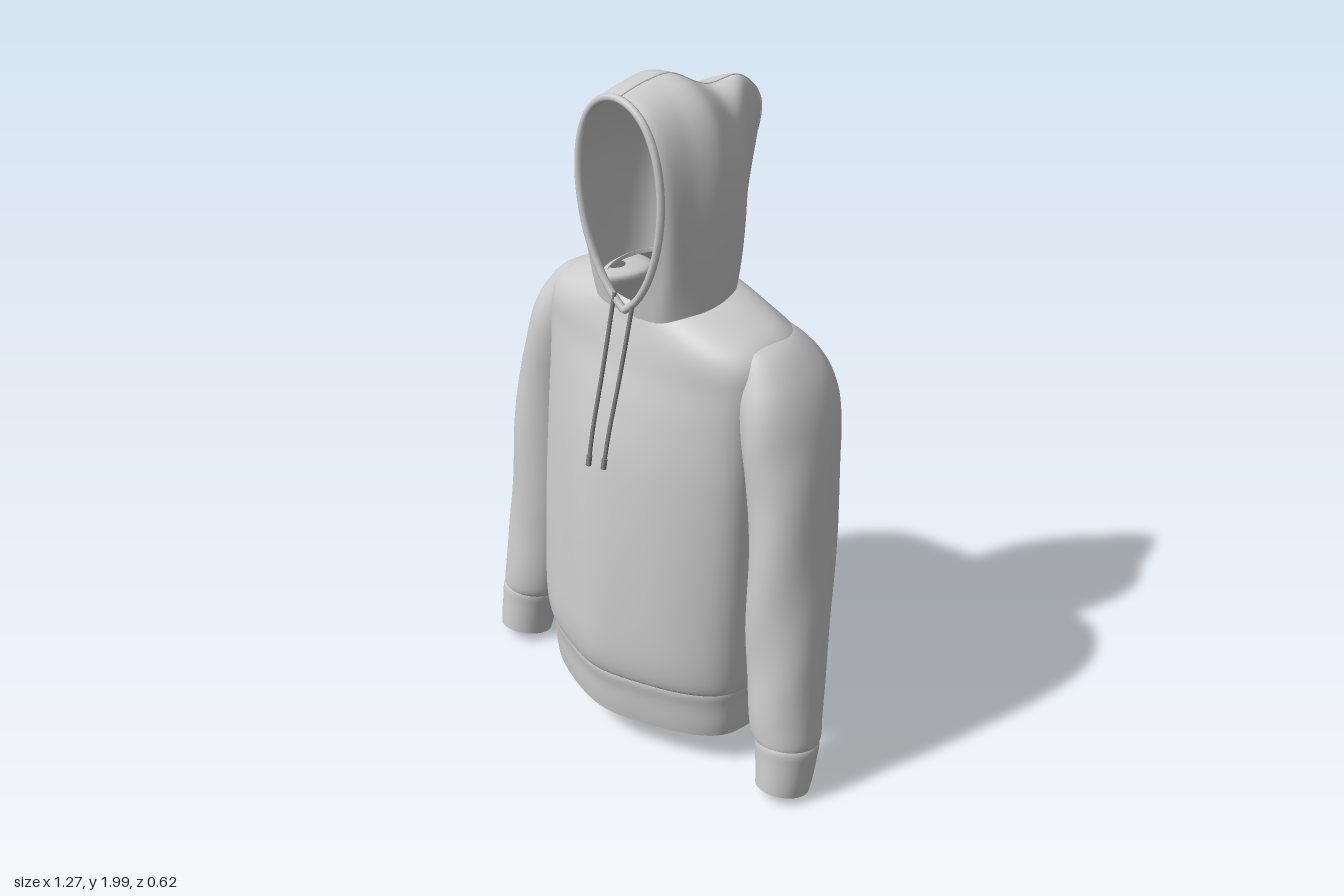
import * as THREE from 'three';

const fabric = new THREE.MeshStandardMaterial({ color: 0xcccccc, side: THREE.DoubleSide });
fabric.name = 'light grey fabric';
const cordGrey = new THREE.MeshStandardMaterial({ color: 0x808080 });
cordGrey.name = 'cord grey';

// Smooth grid surface from a point rule f(u, v) with u and v in 0..1
function surface(f, nu, nv, closed, flip) {
  const cols = closed ? nu : nu + 1, pos = [], idx = [];
  for (let j = 0; j <= nv; j++)
    for (let i = 0; i < cols; i++) pos.push(...f(i / nu, j / nv));
  for (let j = 0; j < nv; j++)
    for (let i = 0; i < nu; i++) {
      const i2 = (i + 1) % cols;
      const a = j * cols + i, b = j * cols + i2, c = a + cols, d = b + cols;
      if (flip) idx.push(a, b, c, b, d, c);
      else idx.push(a, c, b, b, c, d);
    }
  const g = new THREE.BufferGeometry();
  g.setAttribute('position', new THREE.Float32BufferAttribute(pos, 3));
  g.setIndex(idx);
  g.computeVertexNormals();
  return g;
}

// Smooth interpolation down each column of a table of sections
function sample(rows, t) {
  const n = rows.length - 1, x = Math.min(t * n, n - 1e-6), k = Math.floor(x), f = x - k;
  const row = (i) => rows[Math.max(0, Math.min(n, i))];
  return rows[0].map((_, c) => {
    const p0 = row(k - 1)[c], p1 = row(k)[c], p2 = row(k + 1)[c], p3 = row(k + 2)[c];
    const m1 = (p2 - p0) / 2, m2 = (p3 - p1) / 2;
    return p1 + f * (m1 + f * (3 * (p2 - p1) - 2 * m1 - m2 + f * (2 * (p1 - p2) + m1 + m2)));
  });
}

// Torso ring rows: y, half width, front z, back z, depth of folds, squareness.
// The front and back taper towards the sides.
function torso(rows, nv) {
  return surface((u, v) => {
    const [y, w, zf, zb, fold, square] = sample(rows, v);
    const a = u * Math.PI * 2, c = Math.cos(a), s = Math.sin(a);
    const n = 2.3 + 2.6 * square, mid = -0.02;
    const r = (Math.abs(c) ** n + Math.abs(s) ** n) ** (-1 / n);
    const x = w * r * c, t = r * Math.abs(c);
    const taper = 1 - square * (s > 0 ? 0.38 : 0.13) * (Math.hypot(t, 0.3) - 0.3) / 0.744;
    let z = mid + (s > 0 ? zf - mid : mid - zb) * r * s * taper;
    if (s < 0) z += fold * s * s * (Math.cos(x * 20) + 0.4 * Math.sin(x * 50 + y * 5));
    else z += fold * 0.25 * s * s * Math.sin(x * 22 + y * 4);
    return [x, y - 0.1 * z * Math.max(0, (y - 1.25) / 0.15), z];
  }, 128, nv, true, false);
}

// Sleeve ring rows: x centre, y, z centre, half width, half depth, tilt.
// The upper sleeve is sheared so that its outer side sits further forward.
function sleeve(rows, nv, side) {
  return surface((u, v) => {
    const [cx, y, cz, rx, rz, tilt] = sample(rows, v);
    const a = u * Math.PI * 2;
    const wave = 1 + 0.02 * Math.sin(a * 3 + y * 14) * Math.min(1, Math.max(0, (y - 0.2) * 5));
    const dx = rx * wave * Math.cos(a), dz = rz * wave * Math.sin(a);
    const shear = 0.3 * Math.min(1, Math.max(0, (y - 0.5) * 2));
    return [side * (cx + dx), y + tilt * dz, cz + dz + shear * dx];
  }, 40, nv, true, side < 0);
}

export function createModel() {
  const model = new THREE.Group();
  model.name = 'hoodie';
  const add = (name, geo, mat = fabric) => {
    const m = new THREE.Mesh(geo, mat);
    m.name = name;
    model.add(m);
    return m;
  };

  // Torso and waistband
  add('torso', torso([
    [0.255, 0.372, 0.275, -0.282, 0.004, 1], [0.275, 0.383, 0.298, -0.291, 0.008, 1],
    [0.36, 0.388, 0.308, -0.293, 0.012, 1], [0.55, 0.39, 0.297, -0.294, 0.014, 1],
    [0.75, 0.39, 0.28, -0.295, 0.014, 1], [0.95, 0.39, 0.257, -0.301, 0.011, 1],
    [1.1, 0.392, 0.225, -0.297, 0.008, 0.9], [1.21, 0.4, 0.193, -0.274, 0.004, 0.7],
    [1.29, 0.398, 0.175, -0.232, 0, 0.35], [1.34, 0.36, 0.163, -0.195, 0, 0.1],
    [1.38, 0.265, 0.152, -0.17, 0, 0], [1.4, 0.195, 0.135, -0.148, 0, 0],
  ], 64));
  add('waistband', torso([
    [0.11, 0.365, 0.272, -0.277, 0.003, 1], [0.15, 0.37, 0.277, -0.282, 0.004, 1],
    [0.21, 0.373, 0.281, -0.285, 0.005, 1], [0.25, 0.377, 0.288, -0.288, 0.006, 1],
    [0.268, 0.375, 0.283, -0.285, 0.005, 1],
  ], 14));

  // Sleeves and cuffs
  for (const [side, label] of [[1, 'left'], [-1, 'right']]) {
    add(label + 'Sleeve', sleeve([
      [0.545, 0.17, 0.055, 0.082, 0.088, 0.15], [0.535, 0.195, 0.048, 0.1, 0.1, 0.12],
      [0.524, 0.27, 0.042, 0.106, 0.104, 0.05], [0.51, 0.4, 0.026, 0.111, 0.112, 0],
      [0.495, 0.56, 0.008, 0.113, 0.126, 0], [0.478, 0.75, -0.016, 0.113, 0.142, 0],
      [0.452, 0.93, -0.042, 0.114, 0.16, 0], [0.425, 1.06, -0.062, 0.118, 0.174, 0],
      [0.392, 1.17, -0.073, 0.125, 0.172, 0], [0.348, 1.255, -0.075, 0.126, 0.15, 0],
      [0.295, 1.325, -0.06, 0.105, 0.105, 0], [0.27, 1.34, -0.05, 0.03, 0.03, 0],
    ], 56, side));
    add(label + 'Cuff', sleeve([
      [0.556, 0.03, 0.08, 0.074, 0.079, 0.25], [0.555, 0.07, 0.072, 0.079, 0.084, 0.22],
      [0.55, 0.13, 0.061, 0.086, 0.09, 0.18], [0.546, 0.17, 0.055, 0.091, 0.094, 0.15],
      [0.544, 0.185, 0.053, 0.084, 0.09, 0.14],
    ], 14, side));
  }

  // Hood: arches from the neckline up to the centre seam, running front to back.
  // Row: neckline xyz, lower control xyz, upper control xyz, seam shift, y, z
  const arches = [
    [0, 1.365, 0.16, 0.2, 1.5, 0.175, 0.22, 1.965, 0.175, 0, 1.972, 0.175],
    [0.12, 1.345, 0.14, 0.2, 1.56, 0.15, 0.225, 1.985, 0.15, 0, 1.983, 0.14],
    [0.185, 1.37, 0.075, 0.203, 1.6, 0.08, 0.23, 1.995, 0.08, 0, 1.995, 0.07],
    [0.2, 1.385, 0, 0.222, 1.64, -0.02, 0.242, 2.0, -0.02, 0.005, 1.995, -0.01],
    [0.18, 1.395, -0.08, 0.21, 1.62, -0.1, 0.19, 1.935, -0.12, 0.01, 1.935, -0.13],
    [0.135, 1.4, -0.13, 0.16, 1.6, -0.16, 0.1, 1.935, -0.21, 0.035, 1.94, -0.235],
    [0.09, 1.4, -0.15, 0.1, 1.55, -0.19, 0.055, 1.82, -0.28, 0.048, 1.84, -0.305],
    [0.05, 1.4, -0.16, 0.06, 1.48, -0.18, 0.035, 1.6, -0.24, 0.03, 1.65, -0.258],
    [0, 1.4, -0.16, 0, 1.4, -0.16, 0, 1.4, -0.16, 0, 1.4, -0.16],
  ];
  const hoodPoint = (u, v) => {
    const r = sample(arches, v), s = u * 2 - 1, side = Math.sign(s);
    const q = Math.abs(s), p = 1 - q;
    const w = [q * q * q, 3 * q * q * p, 3 * q * p * p, p * p * p];
    const mix = (k) => w[0] * r[k] + w[1] * r[k + 3] + w[2] * r[k + 6] + w[3] * (k ? r[k + 9] : 0);
    return [side * mix(0) + r[9] * p * p, mix(1), mix(2)];
  };
  add('hood', surface(hoodPoint, 56, 56, false, true));

  // Rolled edge around the face opening
  const rim = [];
  for (let i = 0; i <= 40; i++) rim.push(new THREE.Vector3(...hoodPoint(i / 40, 0)));
  add('hoodRim', new THREE.TubeGeometry(new THREE.CatmullRomCurve3(rim), 90, 0.011, 8));

  // Raised seam along the crown and back of the hood
  const seam = [];
  for (let i = 0; i <= 30; i++) seam.push(new THREE.Vector3(...hoodPoint(0.5, i / 30)));
  add('hoodSeam', new THREE.TubeGeometry(new THREE.CatmullRomCurve3(seam), 80, 0.003, 6));

  // Drawstrings with end tips
  for (const [label, top, end, y] of [['right', -0.032, -0.035, 0.925], ['left', 0.04, 0.027, 0.94]]) {
    const path = new THREE.CatmullRomCurve3([
      new THREE.Vector3(top, 1.41, 0.164), new THREE.Vector3(top, 1.36, 0.175),
      new THREE.Vector3((top + end) / 2, 1.18, 0.212), new THREE.Vector3(end, 1.02, 0.248),
      new THREE.Vector3(end, y, 0.265),
    ]);
    add(label + 'Drawstring', new THREE.TubeGeometry(path, 32, 0.006, 8), cordGrey);
    const tip = add(label + 'DrawstringTip', new THREE.CylinderGeometry(0.008, 0.008, 0.03, 10), cordGrey);
    tip.position.set(end, y, 0.265);
    tip.rotation.x = -0.17;
  }
  return model;
}
